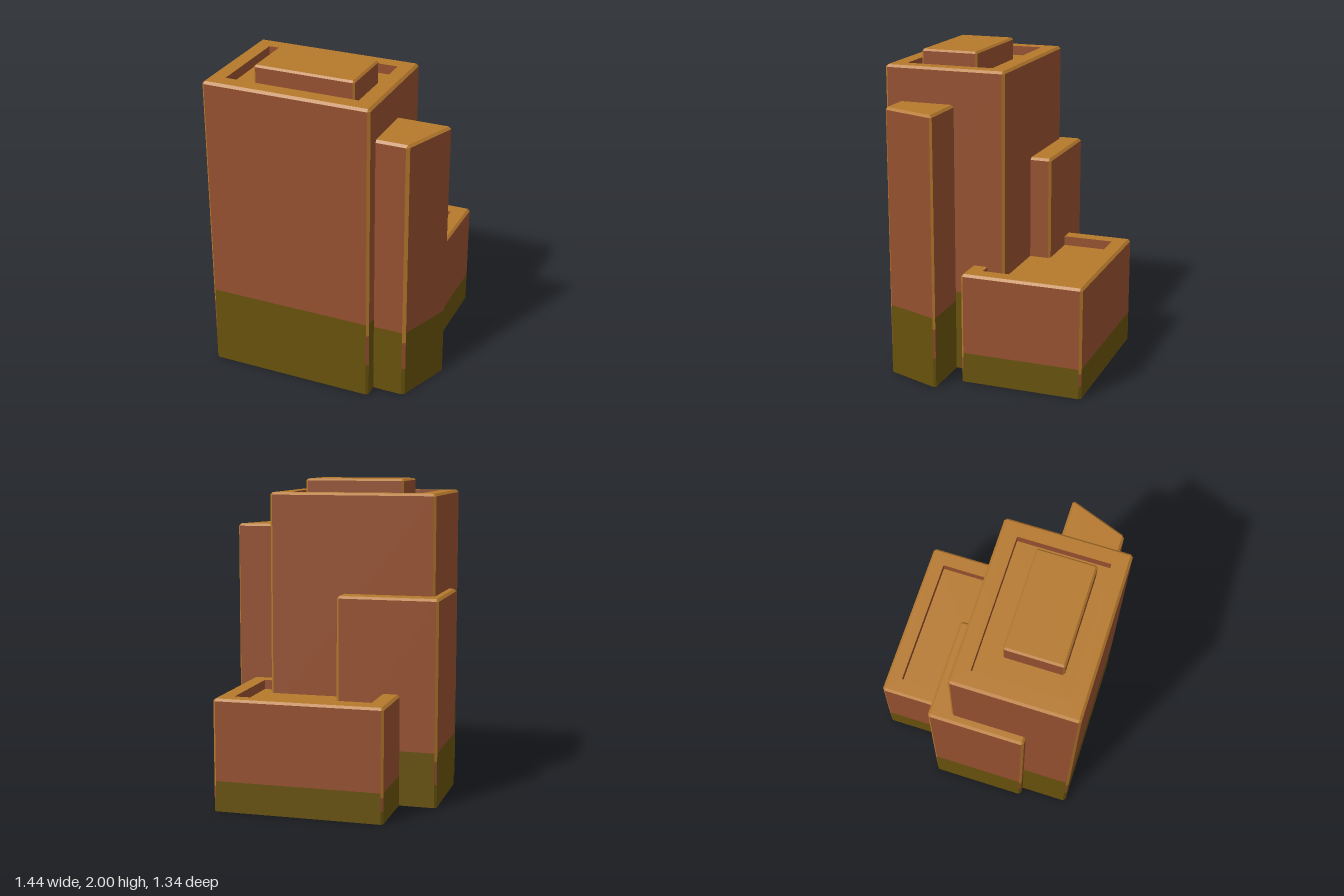
import * as THREE from 'three';

const paint = (name, hex) => {
  const m = new THREE.MeshStandardMaterial({ color: hex, side: THREE.DoubleSide });
  m.name = name;
  return m;
};

// Rectangle footprint as [x, z] corners, counter-clockwise seen from above
const rect = (x0, x1, z0, z1) => [[x0, z1], [x1, z1], [x1, z0], [x0, z0]];

const toVecs = (pts) => pts.map(([x, z]) => new THREE.Vector2(x, -z));

// Flat horizontal face, with an optional hole
function flatFace(pts, y, hole) {
  const shape = new THREE.Shape(toVecs(pts));
  if (hole) shape.holes.push(new THREE.Path(toVecs(hole)));
  return new THREE.ShapeGeometry(shape).rotateX(-Math.PI / 2).translate(0, y, 0);
}

export function createModel() {
  const brick = paint('brick', 0x94502f);
  const trim = paint('ochre trim', 0xb5782c);
  const base = paint('olive base', 0x66510c);
  const model = new THREE.Group();

  // Open-bottomed block with chamfered edges, a base band and an optional roof recess
  function block(name, pts, y0, y1, band, recess, c = 0.015) {
    const group = new THREE.Group();
    group.name = name;
    const faces = new Map([[brick, []], [trim, []], [base, []]]);
    const tri = (m, ...v) => faces.get(m).push(...v.flat());
    const at = ([x, z], y) => [x, y, z];
    const strip = (m, a, b, lo, hi, a2 = a, b2 = b) => {
      if (hi - lo < 1e-4) return;
      tri(m, at(a, lo), at(b, lo), at(b2, hi));
      tri(m, at(a, lo), at(b2, hi), at(a2, hi));
    };
    const addMesh = (part, geometry, material) => {
      const mesh = new THREE.Mesh(geometry, material);
      mesh.name = part;
      group.add(mesh);
    };

    // Each corner becomes two chamfer points and one inset roof point
    const n = pts.length;
    const corners = pts.map(([x, z], i) => {
      const dir = ([px, pz]) => {
        const l = Math.hypot(px - x, pz - z);
        return [(px - x) / l * c, (pz - z) / l * c];
      };
      const p = dir(pts[(i + n - 1) % n]), q = dir(pts[(i + 1) % n]);
      return {
        a: [x + p[0], z + p[1]],
        b: [x + q[0], z + q[1]],
        top: [x + p[0] + q[0], z + p[1] + q[1]],
      };
    });

    const eave = y1 - c;
    corners.forEach((k, i) => {
      const next = corners[(i + 1) % n];
      // Wall and sloped roof edge
      strip(base, k.b, next.a, y0, y0 + band);
      strip(brick, k.b, next.a, y0 + band, eave);
      strip(trim, k.b, next.a, eave, y1, k.top, next.top);
      // Corner chamfer
      strip(base, k.a, k.b, y0, y0 + band * 0.42);
      strip(brick, k.a, k.b, y0 + band * 0.42, y0 + band * 0.84);
      strip(trim, k.a, k.b, y0 + band * 0.84, eave);
      tri(trim, at(k.a, eave), at(k.b, eave), at(k.top, y1));
    });

    // Sunken roof behind a parapet
    if (recess) {
      const floor = y1 - 0.06;
      recess.forEach((p, i) => strip(brick, recess[(i + 1) % 4], p, floor, y1));
      addMesh('roofFloor', flatFace(recess, floor), trim);
    }
    addMesh(recess ? 'parapetTop' : 'roof', flatFace(corners.map((k) => k.top), y1, recess), trim);

    const names = new Map([[brick, 'walls'], [trim, 'edgeTrim'], [base, 'baseBand']]);
    faces.forEach((v, m) => {
      if (!v.length) return;
      const g = new THREE.BufferGeometry();
      g.setAttribute('position', new THREE.Float32BufferAttribute(v, 3));
      g.computeVertexNormals();
      addMesh(names.get(m), g, m);
    });
    model.add(group);
  }

  block('mainTower', rect(-0.675, 0.385, -0.11, 0.665), 0, 1.92, 0.51, rect(-0.57, 0.285, -0.005, 0.56));
  block('roofHut', rect(-0.42, 0.22, 0.13, 0.495), 1.86, 2, 0, null, 0.012);
  block('rearWing', rect(-0.49, 0.57, -0.67, 0.105), 0, 0.7, 0.19, rect(-0.385, 0.465, -0.57, 0));
  block('sideTower', rect(-0.725, -0.085, -0.245, 0.36), 0, 1.295, 0.345);
  block('angledTower', [[-0.03, 0.575], [0.585, 0.575], [0.72, 0.215], [-0.165, 0.215]], 0, 1.7, 0.45);

  return model;
}
